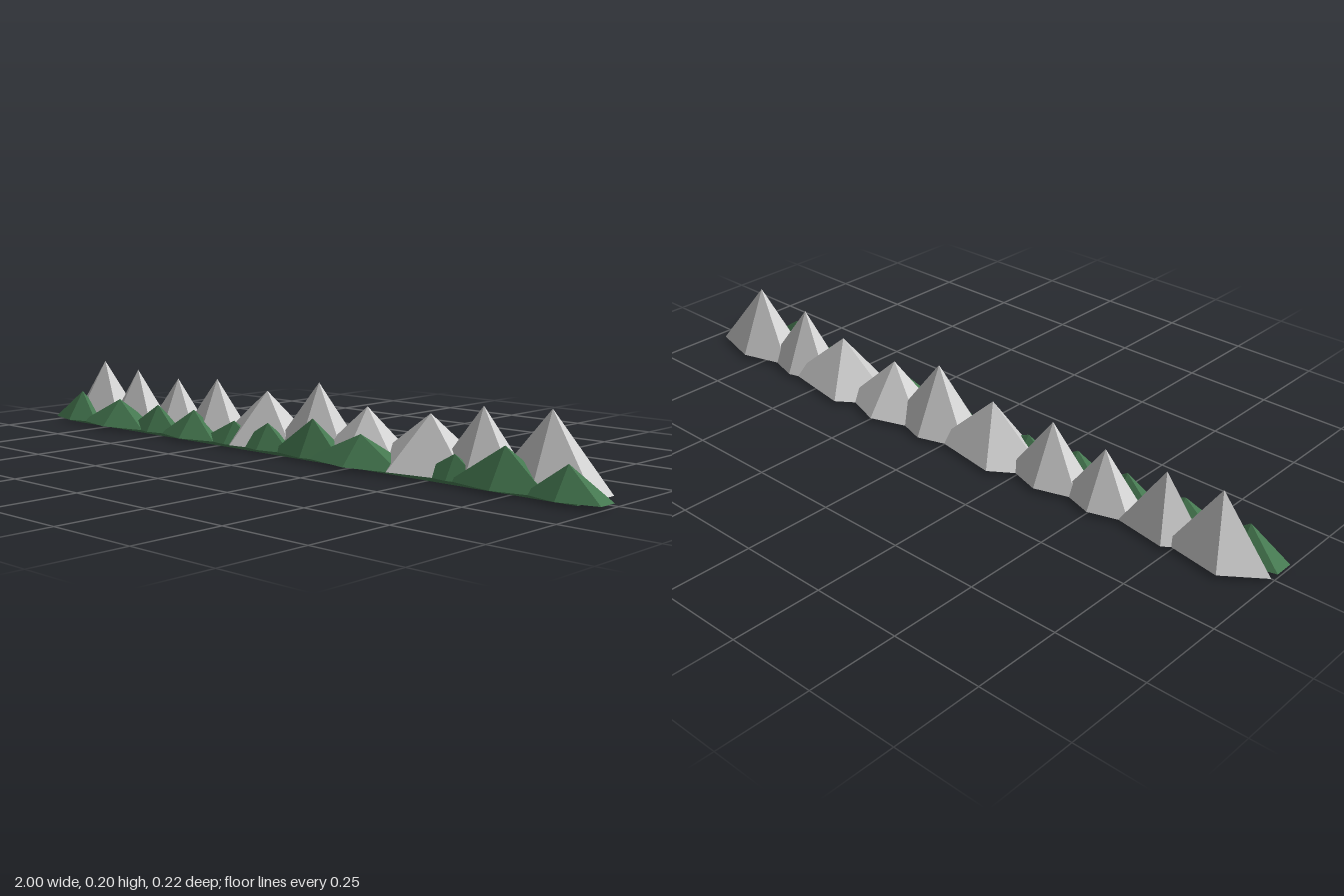
import * as THREE from 'three';

const BASE_TOP = 0.01;

// Faceted cone, stretched along x; five-sided peaks point a corner to -x
function peak(name, material, x, z, top, rx, rz, sides) {
  const start = sides === 5 ? -Math.PI / 2 : 0;
  const height = top - BASE_TOP;
  const cone = new THREE.ConeGeometry(1, height, sides, 1, false, start);
  cone.scale(rx, 1, rz);
  const geometry = cone.toNonIndexed();
  geometry.computeVertexNormals();
  const mesh = new THREE.Mesh(geometry, material);
  mesh.position.set(x, BASE_TOP + height / 2, z);
  mesh.name = name;
  return mesh;
}

export function createModel() {
  const rock = new THREE.MeshStandardMaterial({ color: 0xd2d2d2 });
  rock.name = 'pale rock';
  const forest = new THREE.MeshStandardMaterial({ color: 0x457850 });
  forest.name = 'forest green';

  const model = new THREE.Group();
  model.name = 'mountainRange';

  // Ground strip
  const ground = new THREE.Mesh(new THREE.BoxGeometry(1.87, BASE_TOP, 0.093), forest);
  ground.position.set(-0.005, BASE_TOP / 2, 0.014);
  ground.name = 'groundStrip';
  model.add(ground);

  // Tall rear peaks: x, top, x radius, z radius, sides
  const mountains = new THREE.Group();
  mountains.name = 'mountains';
  [
    [-0.85, 0.19, 0.148, 0.08, 5],
    [-0.69, 0.175, 0.13, 0.07, 5],
    [-0.505, 0.163, 0.122, 0.067, 6],
    [-0.335, 0.176, 0.132, 0.073, 6],
    [-0.13, 0.16, 0.19, 0.096, 5],
    [0.067, 0.2, 0.155, 0.087, 6],
    [0.24, 0.152, 0.165, 0.099, 6],
    [0.45, 0.155, 0.2, 0.105, 5],
    [0.613, 0.19, 0.142, 0.076, 6],
    [0.81, 0.202, 0.167, 0.083, 6],
  ].forEach(([x, top, rx, rz, sides]) =>
    mountains.add(peak('mountain', rock, x, -0.013, top, rx, rz, sides)));
  model.add(mountains);

  // Low foothills in front: x, z, top, x radius, z radius
  const hills = new THREE.Group();
  hills.name = 'foothills';
  [
    [-0.9, 0.04, 0.095, 0.115, 0.055],
    [-0.715, 0.04, 0.087, 0.165, 0.067],
    [-0.54, 0.037, 0.086, 0.125, 0.045],
    [-0.38, 0.038, 0.087, 0.13, 0.06],
    [-0.215, 0.035, 0.072, 0.135, 0.042],
    [-0.08, 0.036, 0.08, 0.125, 0.045],
    [0.09, 0.036, 0.11, 0.145, 0.052],
    [0.265, 0.042, 0.088, 0.19, 0.07],
    [0.435, 0.037, 0.076, 0.085, 0.037],
    [0.565, 0.037, 0.072, 0.12, 0.036],
    [0.713, 0.036, 0.11, 0.165, 0.062],
    [0.895, 0.045, 0.09, 0.121, 0.056],
  ].forEach(([x, z, top, rx, rz]) =>
    hills.add(peak('foothill', forest, x, z, top, rx, rz, 6)));
  model.add(hills);

  return model;
}
